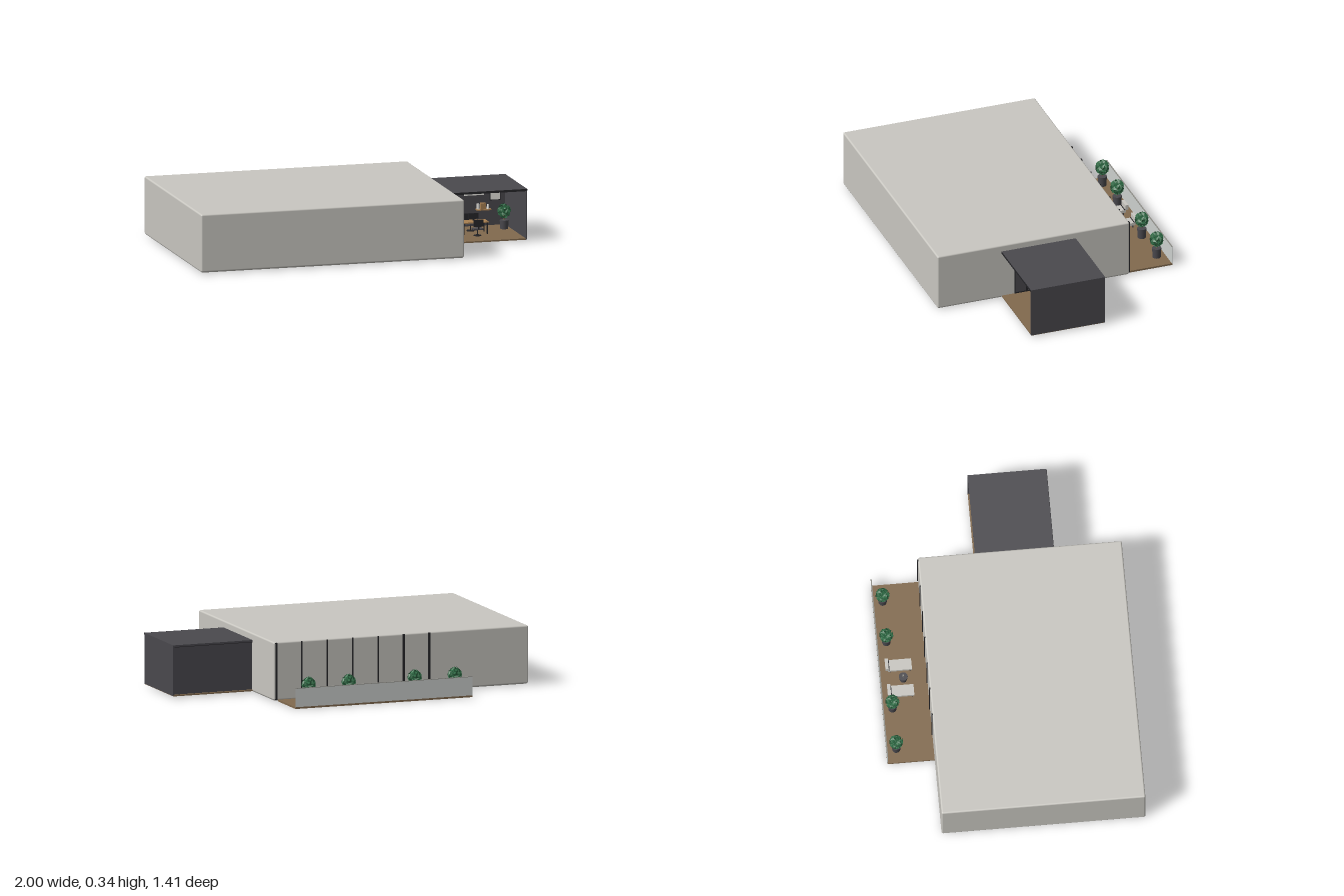
import * as THREE from 'three';
import { RoundedBoxGeometry } from 'three/addons/geometries/RoundedBoxGeometry.js';

const mat = (name, color, side = THREE.FrontSide) => {
  const m = new THREE.MeshStandardMaterial({ color, side });
  m.name = name;
  return m;
};

export function createModel() {
  const M = {
    wall: mat('pale plaster', 0xc9c7c1),
    slab: mat('slab grey', 0x8f8e88),
    dark: mat('charcoal', 0x4a494e),
    black: mat('black frame', 0x252528),
    wood: mat('deck wood', 0x826a4e),
    glass: mat('parapet glass', 0xcdd1ce),
    white: mat('white', 0xe8e6e0),
    leaf: mat('leaf green', 0x2f6b45, THREE.DoubleSide),
    tan: mat('light wood', 0xa88052),
  };
  const root = new THREE.Group();

  const add = (parent, name, geo, material, x = 0, y = 0, z = 0) => {
    const mesh = new THREE.Mesh(geo, material);
    mesh.name = name;
    mesh.position.set(x, y, z);
    parent.add(mesh);
    return mesh;
  };
  // box given by its minimum and maximum on each axis
  const box = (parent, name, material, x0, x1, y0, y1, z0, z1) =>
    add(parent, name, new THREE.BoxGeometry(x1 - x0, y1 - y0, z1 - z0), material,
      (x0 + x1) / 2, (y0 + y1) / 2, (z0 + z1) / 2);
  const cyl = (parent, name, material, r0, r1, h, x, y, z, sides = 20) =>
    add(parent, name, new THREE.CylinderGeometry(r1, r0, h, sides), material, x, y + h / 2, z);
  const group = (name, x = 0, y = 0, z = 0, parent = root) => {
    const g = new THREE.Group();
    g.name = name;
    g.position.set(x, y, z);
    parent.add(g);
    return g;
  };

  // folded diamond leaves spread evenly over a ball
  const foliage = (radius, count) => {
    const pos = [];
    const up = new THREE.Vector3(0, 1, 0);
    for (let i = 0; i < count; i++) {
      const y = 1 - 2 * (i + 0.5) / count, a = i * 2.39996, r = Math.sqrt(1 - y * y);
      const n = new THREE.Vector3(Math.cos(a) * r, y, Math.sin(a) * r);
      const side = new THREE.Vector3().crossVectors(n, up).normalize();
      const along = new THREE.Vector3().crossVectors(side, n);
      const turn = i * 1.7;
      const p = (u, v, w) => n.clone().multiplyScalar(radius * w)
        .addScaledVector(side, radius * (u * Math.cos(turn) - v * Math.sin(turn)))
        .addScaledVector(along, radius * (u * Math.sin(turn) + v * Math.cos(turn)));
      const base = p(0, -0.45, 0.55), tip = p(0, 0.5, 0.9);
      const l = p(-0.32, 0, 0.95), rr = p(0.32, 0, 0.95), mid = p(0, 0, 0.8);
      for (const v of [base, mid, l, l, mid, tip, base, rr, mid, rr, tip, mid]) pos.push(v.x, v.y, v.z);
    }
    const g = new THREE.BufferGeometry();
    g.setAttribute('position', new THREE.Float32BufferAttribute(pos, 3));
    g.computeVertexNormals();
    return g;
  };
  const plant = (name, x, z, s = 1, parent = root) => {
    const g = group(name, x, 0.01, z, parent);
    cyl(g, 'pot', M.dark, 0.023 * s, 0.026 * s, 0.058 * s, 0, 0, 0);
    cyl(g, 'stem', M.wood, 0.003, 0.003, 0.05 * s, 0, 0.055 * s, 0, 6);
    const crown = add(g, 'foliage', foliage(0.04 * s, 46), M.leaf, 0, 0.113 * s, 0);
    crown.scale.y = 1.12;
  };

  // main building
  add(root, 'mainBlock', new RoundedBoxGeometry(1.525, 0.328, 1.14, 3, 0.009), M.wall, -0.2375, 0.171, 0.13);
  box(root, 'groundSlab', M.slab, -0.993, 0.518, 0.005, 0.012, -0.433, 0.693);

  // facade dividers above the terrace
  for (let i = 0; i < 7; i++) {
    const x = 0.509 - i * 0.1525, w = (i === 0 || i > 4) ? 0.006 : 0.003;
    box(root, 'facadeMullion', M.black, x - w, x + w, 0.01, 0.332, -0.445, -0.436);
  }

  // terrace
  box(root, 'terraceDeck', M.wood, -0.56, 0.498, 0, 0.01, -0.705, -0.438);
  box(root, 'terraceParapet', M.glass, -0.56, 0.498, 0.01, 0.114, -0.705, -0.701);
  box(root, 'parapetRail', M.slab, -0.56, 0.498, 0.114, 0.117, -0.706, -0.7);
  for (const x of [-0.478, -0.238, 0.157, 0.397]) plant('terracePlant', x, -0.648);

  // loungers with a raised back
  for (const x of [-0.145, 0.008]) {
    const g = group('lounger', x, 0.01, 0);
    box(g, 'seat', M.wall, -0.032, 0.032, 0.014, 0.03, -0.655, -0.52);
    box(g, 'backrest', M.wall, -0.032, 0.032, 0.03, 0.06, -0.668, -0.65);
    box(g, 'seam', M.black, -0.032, 0.032, 0.03, 0.032, -0.65, -0.645);
    for (const lx of [-0.027, 0.027]) for (const z of [-0.64, -0.53])
      box(g, 'foot', M.dark, lx - 0.003, lx + 0.003, 0, 0.014, z - 0.003, z + 0.003);
  }
  const table = group('sideTable', -0.07, 0.01, -0.573);
  cyl(table, 'drum', M.dark, 0.02, 0.02, 0.04, 0, 0, 0, 24);
  cyl(table, 'top', M.dark, 0.025, 0.025, 0.006, 0, 0.04, 0, 24);
  cyl(table, 'cup', M.slab, 0.005, 0.005, 0.018, 0, 0.046, 0, 12);

  // side room: floor, roof, end wall and recessed back wall, open to the front
  const room = group('sideRoom');
  box(room, 'floor', M.wood, 0.52, 0.999, 0.008, 0.016, -0.12, 0.318);
  box(room, 'roof', M.dark, 0.52, 1, 0.287, 0.297, -0.12, 0.32);
  box(room, 'roofEdge', M.black, 0.526, 1, 0.287, 0.297, 0.32, 0.322);
  box(room, 'ceiling', M.black, 0.526, 0.992, 0.284, 0.287, -0.119, 0.319);
  box(room, 'endWall', M.dark, 0.992, 1, 0.01, 0.287, -0.12, 0.32);
  box(room, 'backWall', M.dark, 0.522, 0.992, 0.016, 0.284, -0.108, -0.098);
  box(room, 'lightStrip', M.white, 0.535, 0.985, 0.279, 0.283, -0.09, -0.084);

  // dark glazed doors in the shared wall
  for (let i = 0; i < 3; i++) {
    const z = 0.02 + i * 0.075;
    box(room, 'doorFrame', M.black, 0.522, 0.528, 0.016, 0.25, z, z + 0.074);
    box(room, 'doorPane', M.dark, 0.526, 0.53, 0.024, 0.242, z + 0.006, z + 0.068);
  }
  box(room, 'wallPicture', M.white, 0.524, 0.53, 0.2, 0.225, -0.05, 0);

  // desk with two chairs
  const desk = group('desk', 0.755, 0.016, 0.1, room);
  box(desk, 'top', M.tan, -0.075, 0.075, 0.064, 0.07, -0.04, 0.04);
  for (const x of [-0.068, 0.068]) for (const z of [-0.034, 0.034])
    box(desk, 'leg', M.black, x - 0.003, x + 0.003, 0, 0.064, z - 0.003, z + 0.003);
  box(desk, 'screen', M.black, -0.03, 0.03, 0.08, 0.112, -0.012, -0.008);
  box(desk, 'screenStand', M.black, -0.004, 0.004, 0.07, 0.082, -0.013, -0.007);
  for (const s of [-1, 1]) {
    const c = group('chair', 0, 0, s * 0.07, desk);
    box(c, 'seat', M.dark, -0.028, 0.028, 0.036, 0.043, -0.025, 0.025);
    const b = s * 0.025;
    box(c, 'backrest', M.black, -0.028, 0.028, 0.055, 0.095, b - 0.003, b + 0.003);
    box(c, 'backPost', M.black, -0.004, 0.004, 0.04, 0.06, b - 0.002, b + 0.002);
    cyl(c, 'post', M.black, 0.004, 0.004, 0.036, 0, 0, 0, 8);
    cyl(c, 'base', M.black, 0.022, 0.022, 0.004, 0, 0, 0, 10);
  }
  box(room, 'pendantLight', M.white, 0.698, 0.812, 0.232, 0.24, 0.096, 0.104);
  for (const x of [0.72, 0.79]) box(room, 'pendantCable', M.black, x, x + 0.002, 0.24, 0.285, 0.099, 0.101);

  // wall shelves with ornaments
  for (const [x, y] of [[0.645, 0.1], [0.862, 0.108]]) {
    const g = group('wallShelf', x, y, -0.08, room);
    box(g, 'board', M.tan, -0.042, 0.042, 0, 0.006, -0.02, 0.02);
    box(g, 'book', M.white, -0.036, -0.026, 0.006, 0.036, -0.01, 0.01);
    box(g, 'crate', M.tan, -0.018, 0.012, 0.006, 0.04, -0.01, 0.012);
    cyl(g, 'vase', M.white, 0.008, 0.005, 0.026, 0.026, 0.006, 0, 12);
  }
  box(room, 'pictureFrame', M.black, 0.903, 0.965, 0.157, 0.222, -0.098, -0.094);
  box(room, 'picture', M.white, 0.907, 0.961, 0.161, 0.218, -0.095, -0.092);
  plant('roomPlant', 0.953, 0.02, 0.95, room);

  return root;
}
